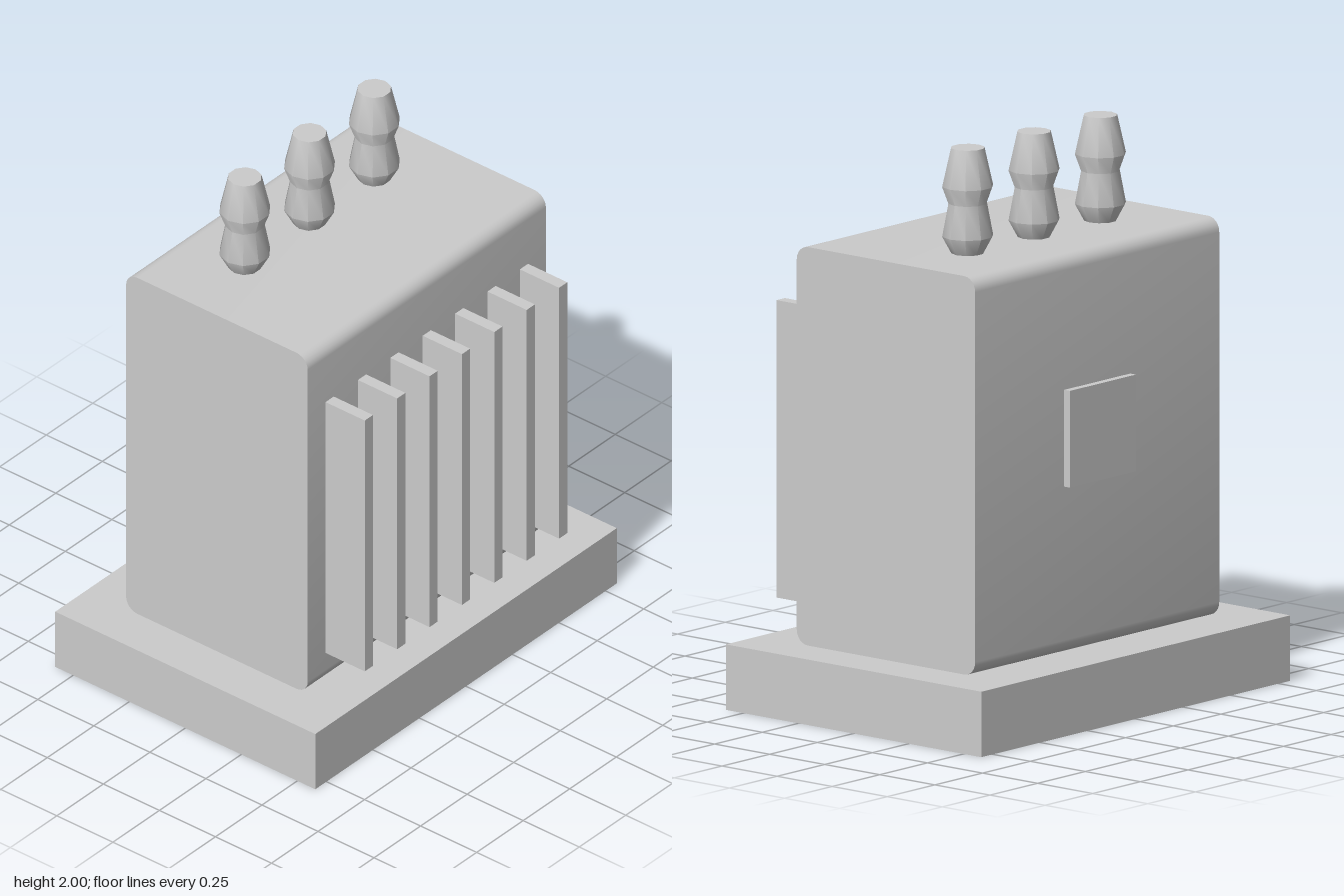
import * as THREE from 'three';
import { toCreasedNormals } from 'three/addons/utils/BufferGeometryUtils.js';

const material = new THREE.MeshStandardMaterial({ color: 0xcccccc });

export function createModel() {
  const model = new THREE.Group();
  model.name = 'transformer';

  const add = (name, geometry, x, y, z) => {
    const mesh = new THREE.Mesh(geometry, material);
    mesh.name = name;
    mesh.position.set(x, y, z);
    model.add(mesh);
    return mesh;
  };

  // Base slab
  add('base', new THREE.BoxGeometry(1.62, 0.23, 1.16), 0, 0.115, 0);

  // Tank: rounded side profile extruded across the width
  const w = 0.405, h = 0.7, r = 0.05;
  const profile = new THREE.Shape();
  profile.absarc(w - r, h - r, r, 0, Math.PI / 2);
  profile.absarc(-w + r, h - r, r, Math.PI / 2, Math.PI);
  profile.absarc(-w + r, -h + r, r, Math.PI, Math.PI * 1.5);
  profile.absarc(w - r, -h + r, r, Math.PI * 1.5, Math.PI * 2);
  const tank = new THREE.ExtrudeGeometry(profile, { depth: 1.28, bevelEnabled: false, curveSegments: 3 });
  tank.translate(0, 0, -0.64).rotateY(Math.PI / 2);
  add('tank', toCreasedNormals(tank, 0.7), 0, 0.93, 0);

  // Cooling fins across the front
  const fin = new THREE.BoxGeometry(0.044, 1.045, 0.18);
  for (let i = -3; i <= 3; i++) add('coolingFin', fin, i * 0.174, 0.873, 0.49);

  // Plate on the back
  add('backPlate', new THREE.BoxGeometry(0.346, 0.34, 0.03), 0, 0.99, -0.416);

  // Ribbed insulators on top, ten-sided
  const points = [[0, 0], [0.057, 0], [0.09, 0.06], [0.068, 0.175], [0.09, 0.235], [0.059, 0.37], [0, 0.37]]
    .map(([x, y]) => new THREE.Vector2(x, y));
  const insulator = toCreasedNormals(new THREE.LatheGeometry(points, 10, Math.PI / 2), 0.7);
  for (let i = -1; i <= 1; i++) add('insulator', insulator, i * 0.348, 1.63, -0.118);

  return model;
}
